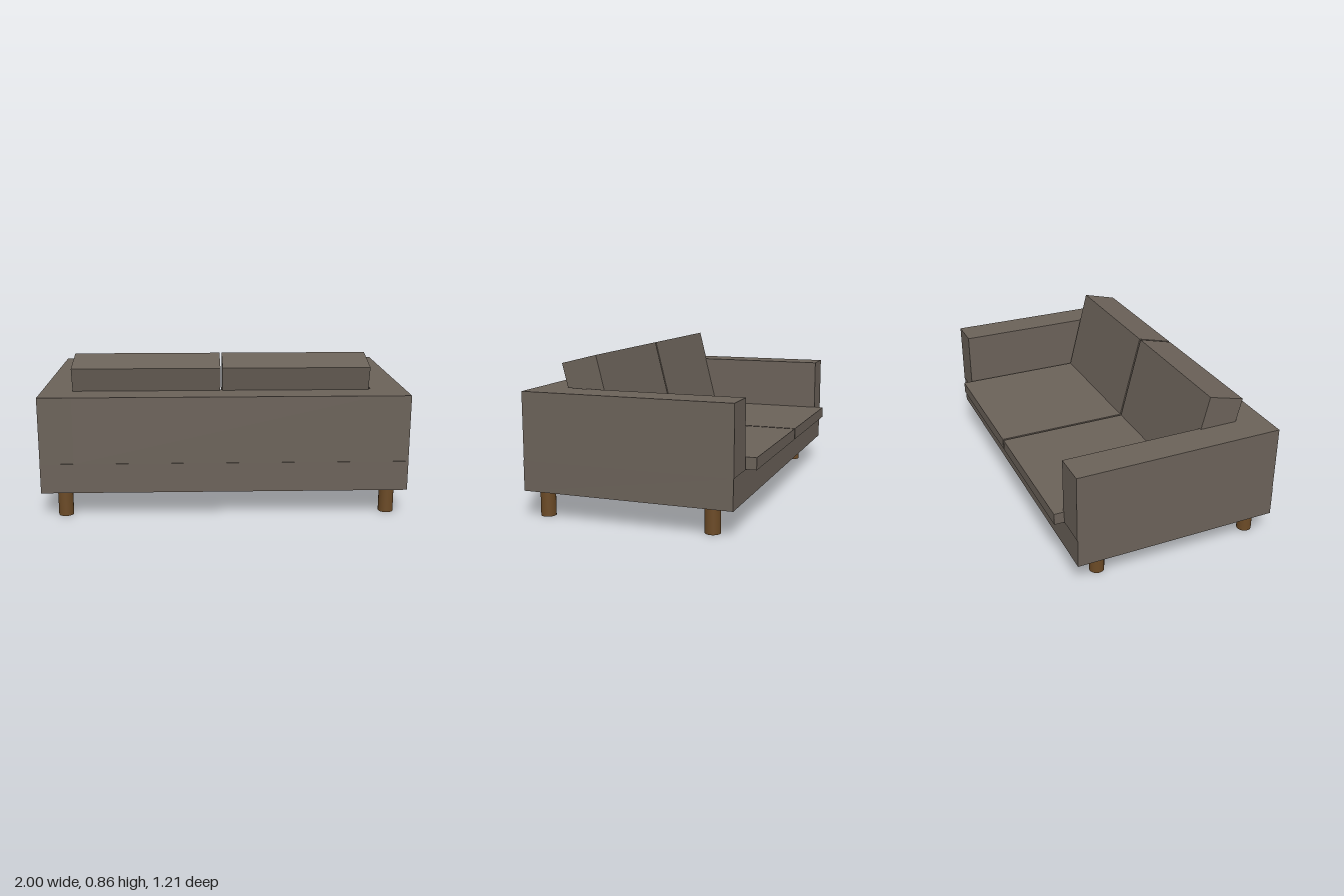
import * as THREE from 'three';

export function createModel() {
  const sofa = new THREE.Group();
  sofa.name = 'sofa';
  const fabric = new THREE.MeshStandardMaterial({ color: 0x6b6259 });
  const wood = new THREE.MeshStandardMaterial({ color: 0x6b4a26 });

  // Box given by its extents along each axis
  function box(name, [x0, x1], [y0, y1], [z0, z1]) {
    const mesh = new THREE.Mesh(new THREE.BoxGeometry(x1 - x0, y1 - y0, z1 - z0), fabric);
    mesh.position.set((x0 + x1) / 2, (y0 + y1) / 2, (z0 + z1) / 2);
    mesh.name = name;
    sofa.add(mesh);
    return mesh;
  }

  // Frame: base, two arms and the backrest; the seat opens towards -z
  box('base', [-1, 1], [0.148, 0.312], [-0.547, 0.605]);
  box('rightArm', [-1, -0.818], [0.312, 0.678], [-0.55, 0.603]);
  box('leftArm', [0.812, 1], [0.312, 0.678], [-0.55, 0.603]);
  box('backrest', [-0.818, 0.812], [0.312, 0.678], [0.417, 0.603]);

  // Seat cushions overhang the base; back cushions lean on the backrest
  const tilt = 0.245, height = 0.53, thickness = 0.206;
  for (const [side, x] of [['right', [-0.83, -0.022]], ['left', [-0.01, 0.797]]]) {
    box(side + 'SeatCushion', x, [0.312, 0.376], [-0.605, 0.4]);
    const back = box(side + 'BackCushion', x, [0, height], [0, thickness]);
    back.position.y = 0.833 - Math.cos(tilt) * height / 2;
    back.position.z = 0.374 - Math.sin(tilt) * height / 2;
    back.rotation.x = tilt;
  }

  // Round wooden legs
  const legs = {
    rightFrontLeg: [-0.88, -0.392],
    leftFrontLeg: [0.905, -0.412],
    rightBackLeg: [-0.88, 0.524],
    leftBackLeg: [0.905, 0.518],
  };
  for (const [name, [x, z]] of Object.entries(legs)) {
    const leg = new THREE.Mesh(new THREE.CylinderGeometry(0.041, 0.041, 0.16, 32), wood);
    leg.position.set(x, 0.08, z);
    leg.name = name;
    sofa.add(leg);
  }
  return sofa;
}
